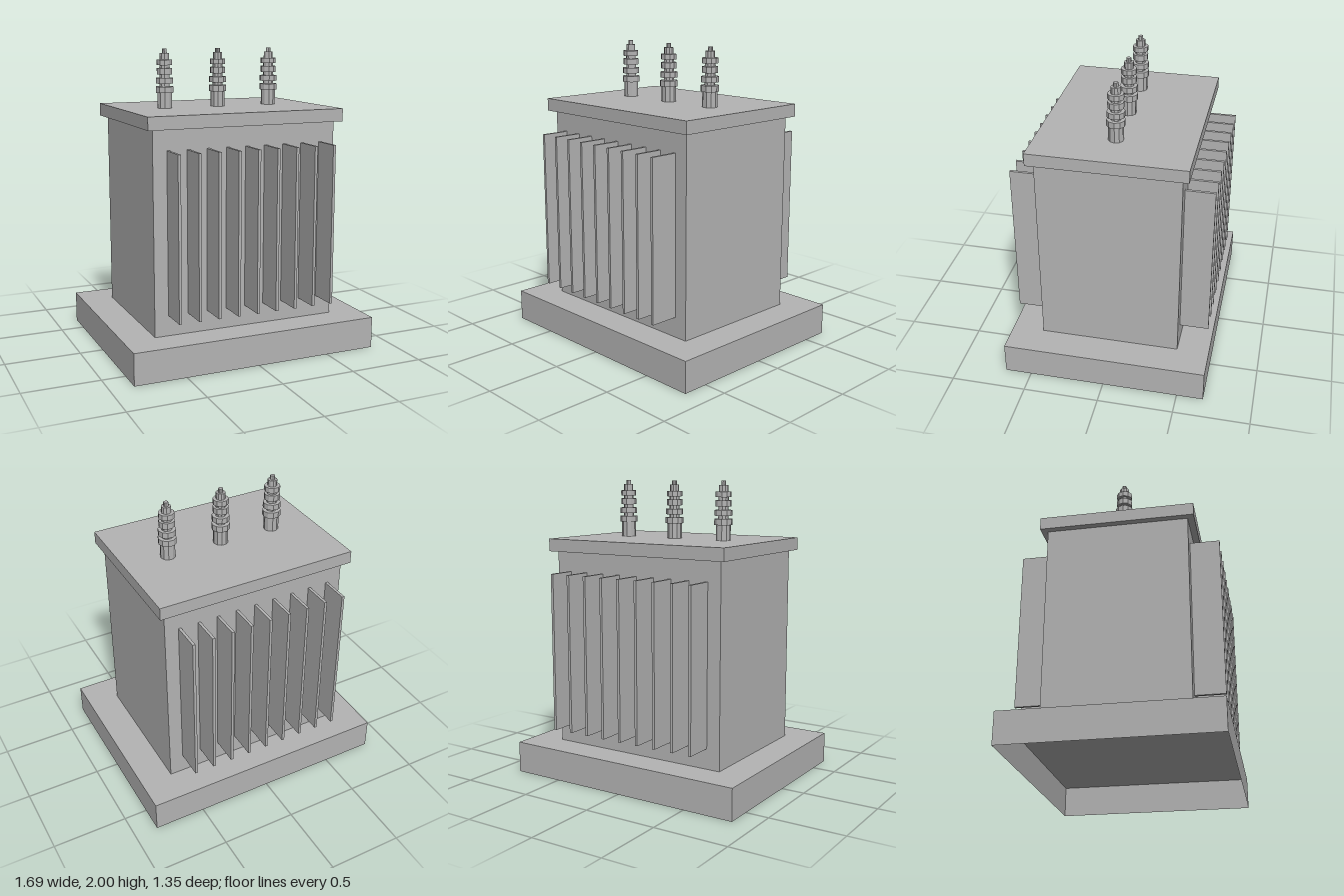
import * as THREE from 'three';

const grey = new THREE.MeshStandardMaterial({ color: 0xb4b4b4, side: THREE.DoubleSide, flatShading: true });
grey.name = 'light grey';

function add(parent, name, geometry, x, y, z) {
  const mesh = new THREE.Mesh(geometry, grey);
  mesh.name = name;
  mesh.position.set(x, y, z);
  parent.add(mesh);
  return mesh;
}

// Box given by half width, half depth and its bottom and top heights
function slab(parent, name, hx, hz, y0, y1, x = 0, z = 0) {
  return add(parent, name, new THREE.BoxGeometry(hx * 2, y1 - y0, hz * 2), x, (y0 + y1) / 2, z);
}

// Insulator rings, bottom to top: [radius, bottom, top]
const rings = [
  [0.049, 1.61, 1.717],
  [0.06, 1.715, 1.755],
  [0.034, 1.755, 1.775],
  [0.058, 1.775, 1.812],
  [0.034, 1.812, 1.835],
  [0.052, 1.835, 1.875],
  [0.034, 1.875, 1.895],
  [0.052, 1.895, 1.93],
  [0.031, 1.93, 1.973],
  [0.016, 1.973, 2.0],
];

function bushing(x) {
  const group = new THREE.Group();
  group.name = 'bushing';
  group.position.x = x;
  group.rotation.y = Math.PI / 2; // a corner of each ring points sideways
  rings.forEach(([r, y0, y1], i) => {
    const name = i === rings.length - 1 ? 'terminal' : 'insulatorRing';
    add(group, name, new THREE.CylinderGeometry(r, r, y1 - y0, 10), 0, (y0 + y1) / 2, 0);
  });
  return group;
}

export function createModel() {
  const model = new THREE.Group();
  model.name = 'transformer';

  // Hollow plinth, open underneath: drop the bottom face of the box
  const plinth = slab(model, 'plinth', 0.845, 0.676, 0, 0.21);
  const index = Array.from(plinth.geometry.index.array);
  index.splice(18, 6);
  plinth.geometry.setIndex(index);
  plinth.geometry.clearGroups();

  // Tank and lid
  slab(model, 'tank', 0.633, 0.464, 0.21, 1.53);
  slab(model, 'lid', 0.676, 0.507, 1.53, 1.614);

  // Cooling fins on front and back
  for (const side of [1, -1]) {
    for (let i = -4; i <= 4; i++) {
      slab(model, 'coolingFin', 0.009, 0.097, 0.343, 1.398, i * 0.133, side * 0.558);
    }
  }

  // Three bushings in a row
  for (const x of [-0.38, 0, 0.38]) model.add(bushing(x));

  return model;
}
